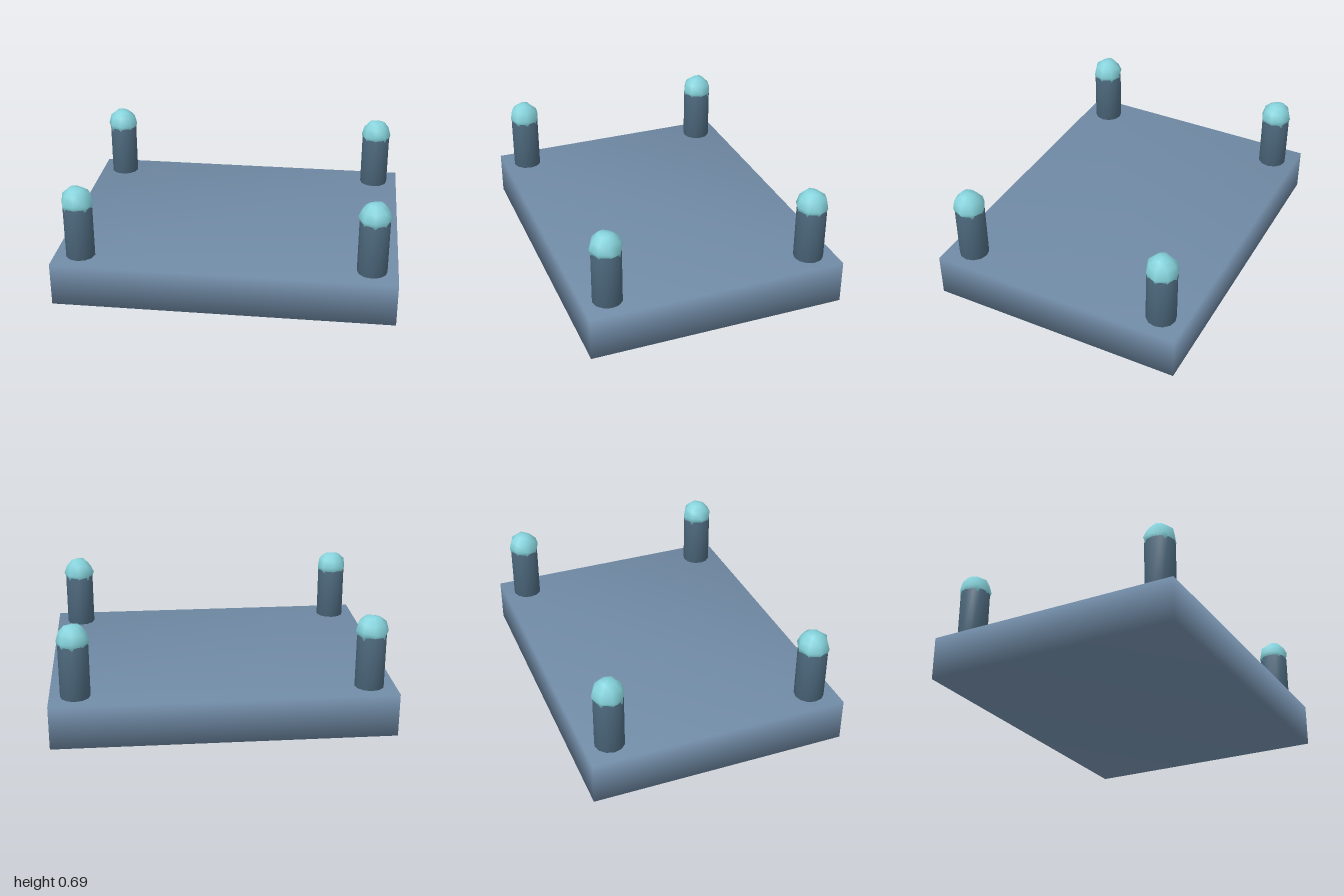
import * as THREE from 'three';
import { mergeVertices } from 'three/addons/utils/BufferGeometryUtils.js';

// Share corner vertices so the shading runs smoothly across every edge
function weld(geometry) {
  geometry.deleteAttribute('uv');
  geometry.deleteAttribute('normal');
  const welded = mergeVertices(geometry, 1e-4);
  welded.computeVertexNormals();
  return welded;
}

// Rough, slightly uneven eight-sided dome
function domeGeometry(phase) {
  const profile = [[0, 0], [0.084, 0], [0.094, 0.04], [0.08, 0.09], [0.044, 0.122], [0, 0.13]]
    .map(([r, y]) => new THREE.Vector2(r, y));
  const geometry = weld(new THREE.LatheGeometry(profile, 8));
  const p = geometry.attributes.position;
  for (let i = 0; i < p.count; i++) {
    const x = p.getX(i), y = p.getY(i), z = p.getZ(i);
    if (Math.hypot(x, z) < 0.01) continue;
    const wobble = Math.sin(i * 2.4 + phase * 1.7);
    const s = 1 + 0.035 * wobble;
    p.setXYZ(i, x * s, y + 0.005 * Math.cos(i * 1.9 + phase), z * s);
  }
  geometry.computeVertexNormals();
  return geometry;
}

export function createModel() {
  const model = new THREE.Group();
  model.name = 'slabWithPosts';

  const slabBlue = new THREE.MeshStandardMaterial({ color: 0x708aa5 });
  slabBlue.name = 'slate blue';
  const postBlue = new THREE.MeshStandardMaterial({ color: 0x4a6579 });
  postBlue.name = 'dark slate';
  const capTeal = new THREE.MeshStandardMaterial({ color: 0x86d3dc });
  capTeal.name = 'pale teal';

  function add(name, geometry, material, x, y, z, parent = model) {
    const mesh = new THREE.Mesh(geometry, material);
    mesh.name = name;
    mesh.position.set(x, y, z);
    parent.add(mesh);
  }

  // Base slab
  add('slab', weld(new THREE.BoxGeometry(2, 0.26, 1.535)), slabBlue, 0, 0.13, 0);

  // Four corner posts with domed caps
  const postGeometry = weld(new THREE.CylinderGeometry(0.087, 0.087, 0.32, 12));
  let index = 0;
  for (const [side, sx] of [['Left', 1], ['Right', -1]]) {
    for (const [end, sz] of [['front', 1], ['back', -1]]) {
      const corner = new THREE.Group();
      corner.name = `${end}${side}Corner`;
      corner.position.set(sx * 0.85, 0, sz * 0.618);
      add('post', postGeometry, postBlue, 0, 0.42, 0, corner);
      add('cap', domeGeometry(index++), capTeal, 0, 0.562, 0, corner);
      model.add(corner);
    }
  }
  return model;
}
